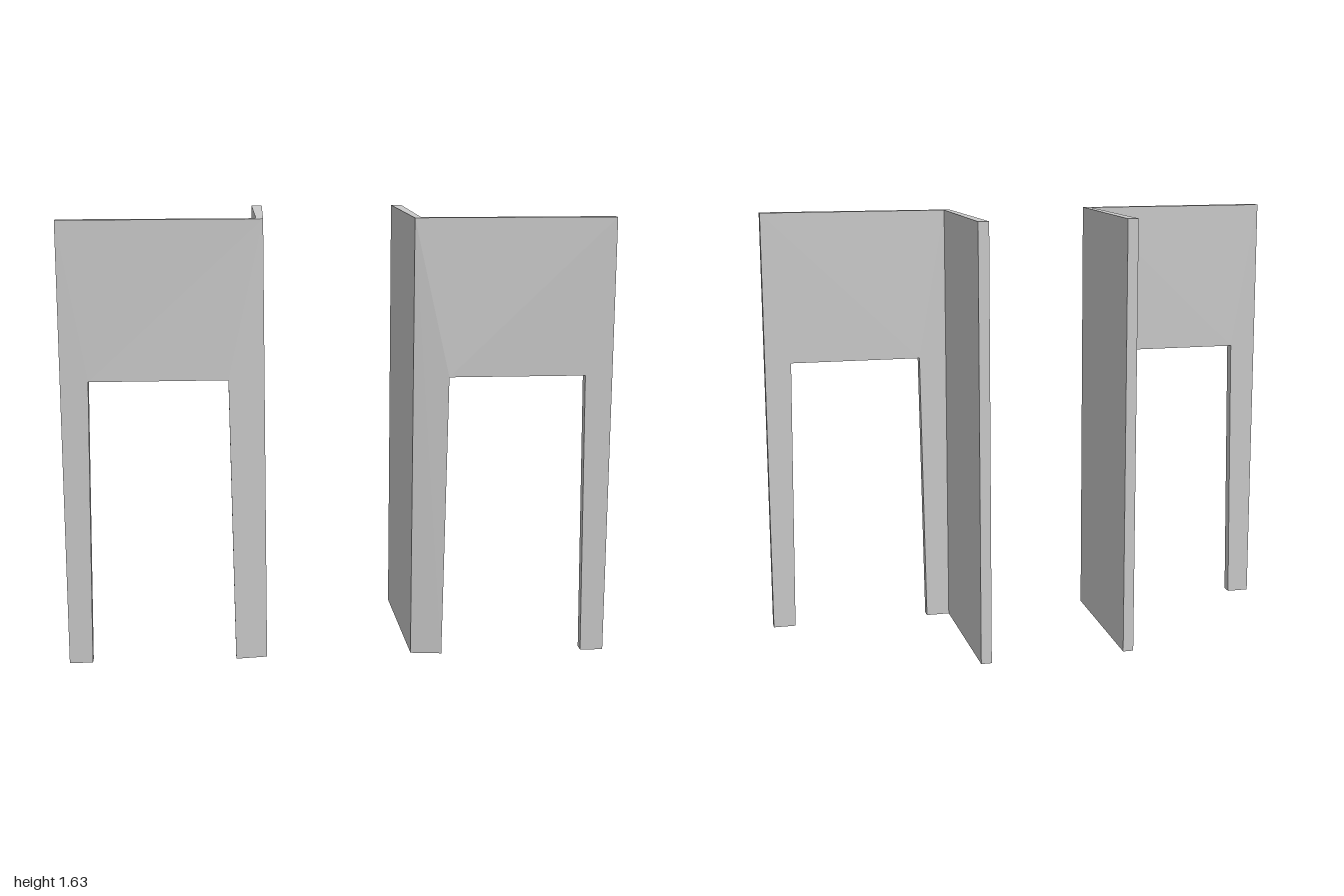
import * as THREE from 'three';

const HEIGHT = 1.63, BACK = 0.285, FRONT = 0.325, CORNER = 0.31, INNER = 0.27, WALL = 0.295;

const polygon = (pts) => new THREE.Shape(pts.map(([x, y]) => new THREE.Vector2(x, y)));

// Front panel with a tapered-leg opening; side is +1 or -1
function frontPanel(side) {
  const shape = polygon([
    [INNER, 0], [0.385, 0], [0.4, 1.055], [0.9, 1.055],
    [0.915, 0], [1, 0], [1, HEIGHT], [INNER, HEIGHT],
  ].map(([x, y]) => [side * x, y]));
  const geo = new THREE.ExtrudeGeometry(shape, { depth: FRONT - BACK, bevelEnabled: false });
  geo.translate(0, 0, BACK);
  // Mitre the inner edge where the panel meets the wall
  const p = geo.attributes.position;
  for (let i = 0; i < p.count; i++) {
    if (Math.abs(p.getX(i)) > 0.3) continue;
    if (p.getZ(i) > 0.3) p.setZ(i, CORNER);
    else p.setX(i, side * WALL);
  }
  geo.computeVertexNormals();
  return geo;
}

// Plain wall running back from the panel's inner edge
function sideWall(side) {
  const shape = polygon([
    [INNER, CORNER], [0.255, -0.327], [WALL, -0.327], [WALL, BACK],
  ].map(([x, z]) => [side * x, -z]));
  const geo = new THREE.ExtrudeGeometry(shape, { depth: HEIGHT, bevelEnabled: false });
  return geo.rotateX(-Math.PI / 2);
}

export function createModel() {
  const model = new THREE.Group();
  model.name = 'panelPair';
  const material = new THREE.MeshStandardMaterial({ color: 0xcccccc, flatShading: true });
  for (const [name, side] of [['left', 1], ['right', -1]]) {
    const half = new THREE.Group();
    half.name = name + 'Half';
    const panel = new THREE.Mesh(frontPanel(side), material);
    panel.name = name + 'FrontPanel';
    const wall = new THREE.Mesh(sideWall(side), material);
    wall.name = name + 'SideWall';
    half.add(panel, wall);
    model.add(half);
  }
  return model;
}
